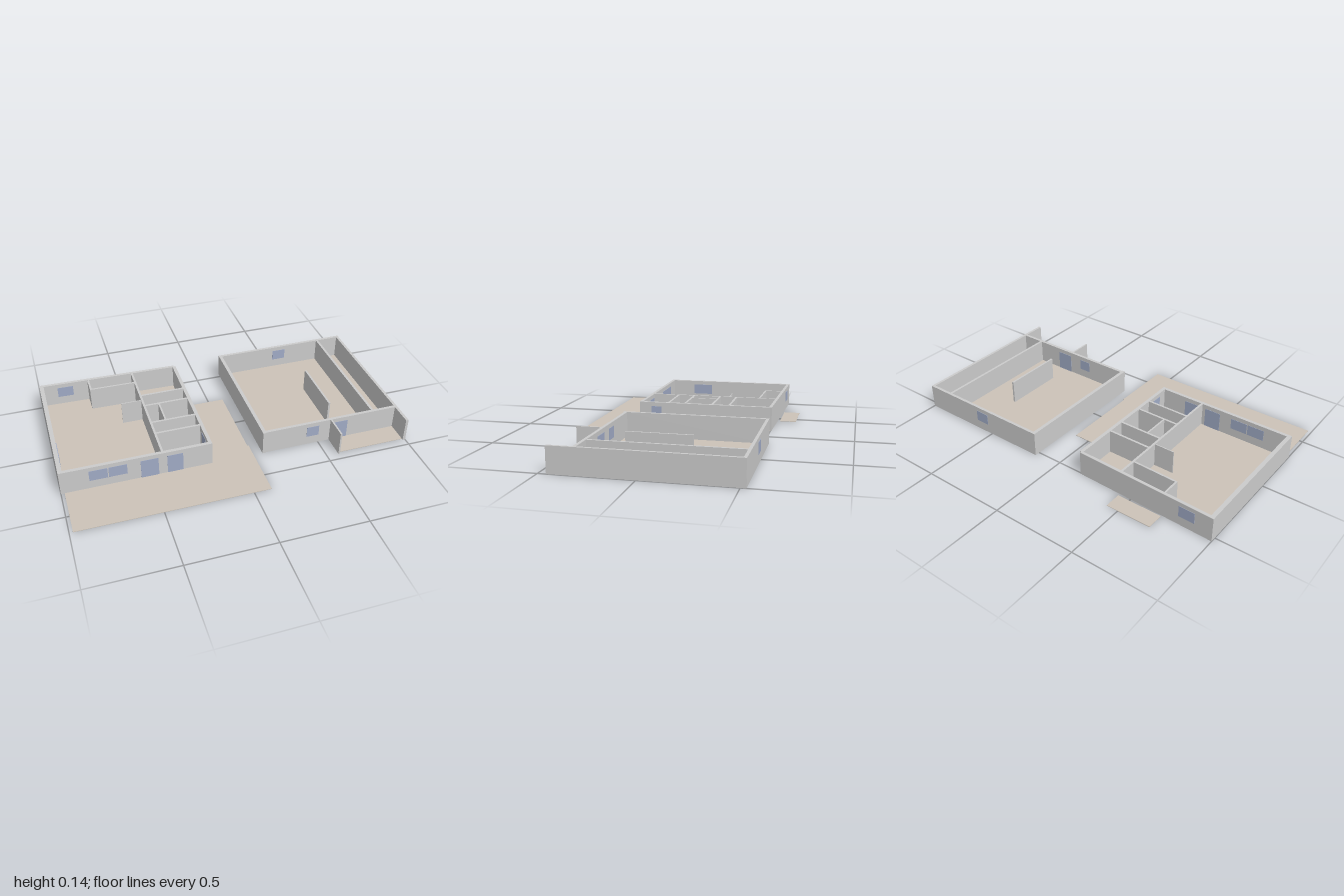
import * as THREE from 'three';

const H = 0.145;      // wall height
const SLAB = 0.003;   // floor thickness
const SILL = 0.055, HEAD = 0.12;

const wallMat = new THREE.MeshStandardMaterial({ color: 0xcccccc });
const floorMat = new THREE.MeshStandardMaterial({ color: 0xccc3b8 });
const glassMat = new THREE.MeshStandardMaterial({ color: 0xa0abc6 });

// Wall from a to b ([x, z] on its centre line); openings are [from, to, bottom] along its length
function wall(name, a, b, thick, openings = []) {
  const group = new THREE.Group();
  group.name = name;
  const dx = b[0] - a[0], dz = b[1] - a[1], length = Math.hypot(dx, dz);

  const shape = new THREE.Shape();
  shape.moveTo(0, 0);
  for (const [from, to, bottom] of openings) {
    if (bottom === 0) {
      // doorways notch the lower edge
      shape.lineTo(from, 0);
      shape.lineTo(from, HEAD);
      shape.lineTo(to, HEAD);
      shape.lineTo(to, 0);
    } else {
      const hole = new THREE.Path();
      hole.moveTo(from, bottom);
      hole.lineTo(from, HEAD);
      hole.lineTo(to, HEAD);
      hole.lineTo(to, bottom);
      hole.closePath();
      shape.holes.push(hole);
    }
  }
  shape.lineTo(length, 0);
  shape.lineTo(length, H);
  shape.lineTo(0, H);
  shape.closePath();

  const geo = new THREE.ExtrudeGeometry(shape, { depth: thick, bevelEnabled: false });
  geo.translate(0, 0, -thick / 2);
  const body = new THREE.Mesh(geo, wallMat);
  body.name = name + 'Body';
  group.add(body);

  // panes stand slightly proud of both wall faces
  for (const [from, to, bottom] of openings) {
    const pane = new THREE.Mesh(new THREE.BoxGeometry(to - from, HEAD - bottom, thick + 0.004), glassMat);
    pane.position.set((from + to) / 2, (HEAD + bottom) / 2, 0);
    pane.name = bottom === 0 ? 'glassDoor' : 'window';
    group.add(pane);
  }
  group.position.set(a[0], 0, a[1]);
  group.rotation.y = -Math.atan2(dz, dx);
  return group;
}

// Flat slab from a list of [x, z] corners
function floor(name, corners) {
  const shape = new THREE.Shape(corners.map(([x, z]) => new THREE.Vector2(x, -z)));
  const geo = new THREE.ExtrudeGeometry(shape, { depth: SLAB, bevelEnabled: false });
  geo.rotateX(-Math.PI / 2);
  const mesh = new THREE.Mesh(geo, floorMat);
  mesh.name = name;
  return mesh;
}

const rect = (x0, x1, z0, z1) => [[x0, z0], [x1, z0], [x1, z1], [x0, z1]];

function createMainHouse() {
  const house = new THREE.Group();
  house.name = 'mainHouse';

  house.add(
    floor('houseFloor', [[-0.995, -0.525], [-0.15, -0.5], [-0.15, 0.315], [-0.995, 0.315]]),
    floor('terrace', [[-0.98, 0.315], [-0.15, 0.315], [-0.15, -0.245], [0.092, -0.245],
      [0.092, 0.232], [0.1, 0.232], [0.1, 0.62], [-0.98, 0.62]]),
    floor('backStep', rect(-0.7, -0.43, -0.63, -0.53)),
  );

  // outer walls
  house.add(
    wall('frontWall', [-1, 0.31], [-0.145, 0.31], 0.02,
      [[0.16, 0.262, SILL], [0.268, 0.37, SILL], [0.445, 0.545, 0], [0.595, 0.685, 0]]),
    wall('backWall', [-1, -0.521], [-0.155, -0.497], 0.018, [[0.105, 0.2, SILL]]),
    wall('rightWall', [-0.988, -0.525], [-0.988, 0.318], 0.024),
    wall('leftWall', [-0.155, -0.495], [-0.155, 0.318], 0.02, [[0.675, 0.74, SILL]]),
  );

  // pane set on the inner face of the side wall
  const sidePane = new THREE.Mesh(new THREE.BoxGeometry(0.006, HEAD - SILL, 0.13), glassMat);
  sidePane.position.set(-0.975, (HEAD + SILL) / 2, 0.09);
  sidePane.name = 'sideWindow';
  house.add(sidePane);

  // long spine partition and the rooms off it
  house.add(wall('spinePartition', [-0.428, -0.505], [-0.428, 0.302], 0.013));
  for (const z of [-0.245, -0.138, 0.032, 0.136]) {
    house.add(wall('roomPartition', [-0.425, z], [-0.16, z], 0.013));
  }
  house.add(
    wall('closetPartition', [-0.34, -0.138], [-0.34, 0.032], 0.01),
    wall('alcoveFront', [-0.705, -0.4], [-0.43, -0.394], 0.011),
    wall('alcoveSide', [-0.703, -0.512], [-0.703, -0.396], 0.011),
    wall('kitchenScreen', [-0.555, -0.198], [-0.43, -0.198], 0.006),
  );
  return house;
}

function createAnnex() {
  const annex = new THREE.Group();
  annex.name = 'annex';

  annex.add(
    floor('annexFloor', rect(0.16, 0.995, -0.525, 0.315)),
    floor('porchFloor', rect(0.572, 0.99, 0.315, 0.445)),
  );

  // outer walls; the left wall runs on past the porch
  annex.add(
    wall('annexFrontWall', [0.155, 0.31], [0.99, 0.31], 0.018,
      [[0.27, 0.345, SILL], [0.425, 0.525, 0]]),
    wall('annexBackWall', [0.155, -0.521], [0.995, -0.521], 0.017, [[0.37, 0.455, SILL]]),
    wall('annexRightWall', [0.165, -0.529], [0.165, 0.323], 0.02),
    wall('annexLeftWall', [0.992, -0.529], [0.992, 0.455], 0.016),
    wall('porchSide', [0.575, 0.315], [0.575, 0.458], 0.01),
  );

  // inner walls
  annex.add(
    wall('annexPartition', [0.843, -0.515], [0.843, 0.305], 0.015),
    wall('dividerScreen', [0.631, -0.2], [0.631, 0.165], 0.012),
  );
  return annex;
}

export function createModel() {
  const model = new THREE.Group();
  model.name = 'floorPlan';
  model.add(createMainHouse(), createAnnex());
  return model;
}
